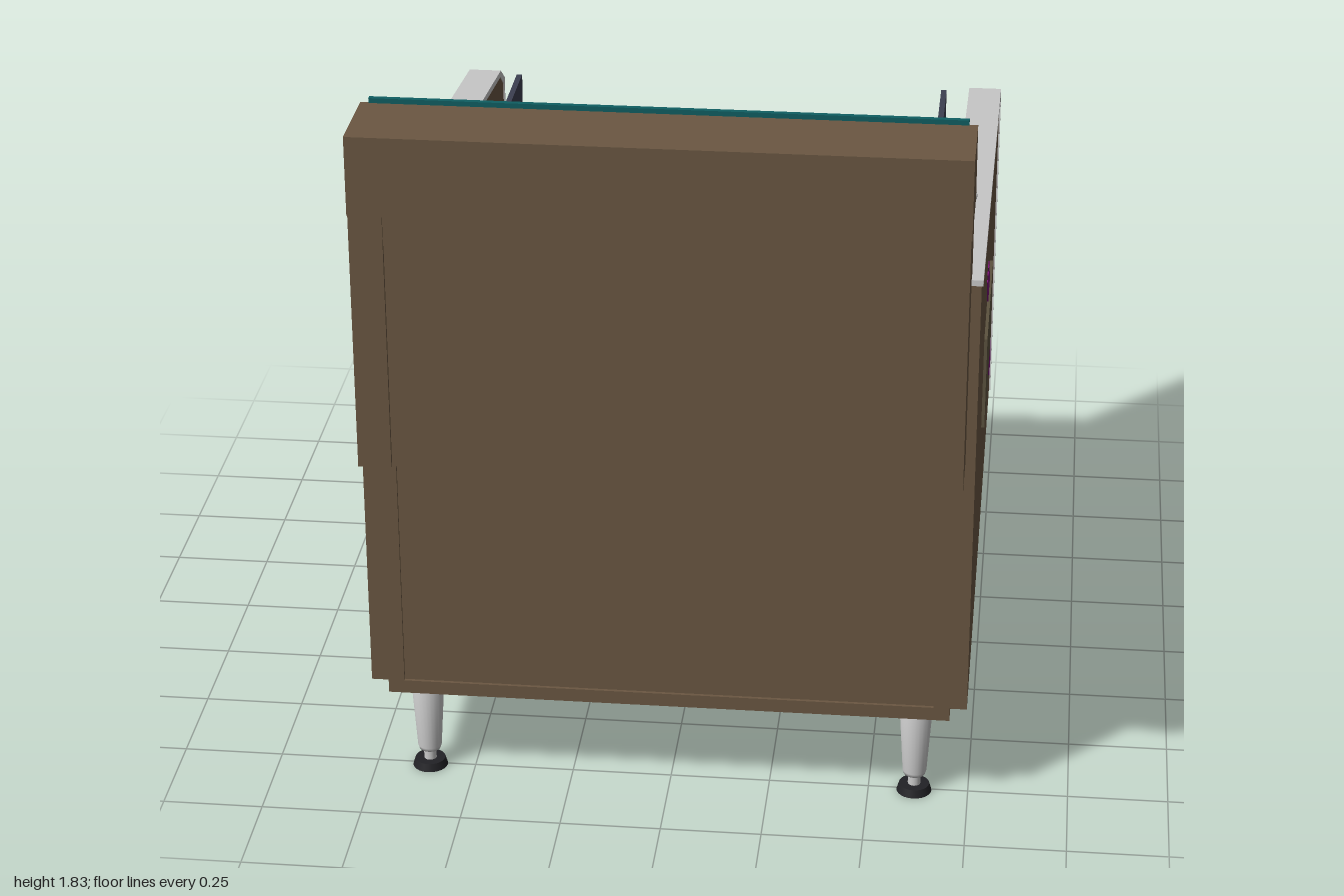
import * as THREE from 'three';
import { RoundedBoxGeometry } from 'three/addons/geometries/RoundedBoxGeometry.js';

const mat = (color, side = THREE.FrontSide) => new THREE.MeshStandardMaterial({ color, side });
const BROWN = mat(0x6b5742), GREY = mat(0xcccccc), NAVY = mat(0x3c3f50), TEAL = mat(0x0f5f62);
const BLACK = mat(0x222226), OLIVE = mat(0x5c533f), GOLD = mat(0xa08a50);
const PURPLE = mat(0x800f7c, THREE.DoubleSide);

export function createModel() {
  const root = new THREE.Group();

  const add = (name, geo, material, parent = root) => {
    const m = new THREE.Mesh(geo, material);
    m.name = name;
    parent.add(m);
    return m;
  };
  // Box given by its limits on each axis
  const box = (name, material, x0, x1, y0, y1, z0, z1, parent = root) => {
    const m = add(name, new THREE.BoxGeometry(x1 - x0, y1 - y0, z1 - z0), material, parent);
    m.position.set((x0 + x1) / 2, (y0 + y1) / 2, (z0 + z1) / 2);
    return m;
  };
  // Side profile of [z, y] points, extruded from x0 to x1
  const slab = (name, material, pts, x0, x1, parent = root) => {
    const shape = new THREE.Shape(pts.map(([z, y]) => new THREE.Vector2(z, y)));
    const geo = new THREE.ExtrudeGeometry(shape, { depth: x1 - x0, bevelEnabled: false });
    geo.rotateY(-Math.PI / 2).translate(x1, 0, 0);
    return add(name, geo, material, parent);
  };

  // Lower cabinet
  box('basePlate', BROWN, -0.70, 0.70, 0.25, 0.285, -0.97, 0.83);
  box('playfield', BROWN, -0.66, 0.66, 0.50, 0.545, -0.95, 0.77);
  box('rearWall', BROWN, -0.66, 0.66, 0.285, 0.98, 0.76, 0.822);
  box('playerWall', BROWN, -0.66, 0.66, 0.285, 0.62, -0.975, -0.915);
  const rim = add('playerRim', new RoundedBoxGeometry(1.32, 0.04, 0.078, 3, 0.015), GREY);
  rim.position.set(0, 0.635, -0.948);
  box('rimStripe', TEAL, -0.53, 0.53, 0.598, 0.612, -0.99, -0.97);

  // Parts mirrored on both sides
  const panel = [[0.83, 0.285], [-0.968, 0.285], [-0.968, 1.182], [-0.91, 1.225], [0.83, 1.43]];
  const trim = [[0.83, 1.43], [0.83, 1.445], [-0.915, 1.242], [-0.985, 1.195], [-0.985, 0.285],
    [-0.968, 0.285], [-0.968, 1.182], [-0.91, 1.225]];
  // Each stripe: top z range, bottom z range
  const stripes = [[0.01, -0.035, -0.80, -0.845], [0.056, 0.032, -0.752, -0.78], [0.10, 0.085, -0.724, -0.74]];
  const latheLeg = new THREE.LatheGeometry(
    [[0, 0.05], [0.027, 0.05], [0.03, 0.06], [0.042, 0.25], [0, 0.25]].map(p => new THREE.Vector2(...p)), 24);

  for (const s of [1, -1]) {
    const lim = (a, b) => (s > 0 ? [a, b] : [-b, -a]);
    const side = new THREE.Group();
    side.name = s > 0 ? 'leftSide' : 'rightSide';
    root.add(side);
    slab('sidePanel', BROWN, panel, ...lim(0.66, 0.742), side);
    slab('sideTrim', GREY, trim, ...lim(0.658, 0.746), side);
    box('edgeStripe', TEAL, ...lim(0.692, 0.714), 0.285, 1.19, -1.0, -0.984, side);
    box('sideScreen', NAVY, ...lim(0.583, 0.598), 0.56, 1.27, -0.82, 0.67, side);
    box('sidePlate', OLIVE, ...lim(0.74, 0.75), 0.737, 0.987, -0.315, 0.18, side);
    for (const [a, b, c, d] of stripes)
      slab('sideStripe', PURPLE, [[a, 1.11], [c, 0.45], [d, 0.45], [b, 1.11]], ...lim(0.741, 0.745), side);

    // Legs with levelling feet
    for (const z of [0.755, -0.89]) {
      const leg = new THREE.Group();
      leg.name = 'leg';
      leg.position.set(s * 0.615, 0, z);
      side.add(leg);
      add('legTaper', latheLeg, GREY, leg);
      add('legNeck', new THREE.CylinderGeometry(0.016, 0.016, 0.05, 16), GREY, leg).position.y = 0.035;
      add('foot', new THREE.CylinderGeometry(0.038, 0.044, 0.02, 24), BLACK, leg).position.y = 0.01;
    }

    // Speaker with concentric rings on the player wall
    const speaker = new THREE.Group();
    speaker.name = 'speaker';
    speaker.position.set(s * 0.43, 0.445, -0.977);
    side.add(speaker);
    const disc = add('speakerDisc', new THREE.CylinderGeometry(0.075, 0.075, 0.008, 32), BLACK, speaker);
    disc.rotation.x = Math.PI / 2;
    [0.077, 0.052, 0.027].forEach((r, i) => {
      const ring = add('speakerRing', new THREE.TorusGeometry(r, 0.004, 6, 32), i ? OLIVE : GOLD, speaker);
      ring.position.z = -0.003;
    });

    // Goal box uprights and dark cheeks
    box('goalUpright', BROWN, ...lim(0.638, 0.718), 0.97, 1.62, 0.775, 1.0, side);
    box('goalCheek', BLACK, ...lim(0.43, 0.648), 0.985, 1.545, 0.767, 0.785, side);
  }

  // Coin panel
  const coin = new THREE.Group();
  coin.name = 'coinPanel';
  root.add(coin);
  box('coinFrame', TEAL, -0.17, 0.17, 0.31, 0.56, -0.985, -0.97, coin);
  box('coinFace', NAVY, -0.157, 0.157, 0.323, 0.547, -0.988, -0.97, coin);
  box('coinSlotPlate', GREY, 0.065, 0.11, 0.42, 0.51, -0.993, -0.98, coin);
  box('coinSlot', BLACK, 0.083, 0.092, 0.45, 0.495, -0.996, -0.98, coin);
  box('coinReturn', GREY, -0.10, -0.06, 0.355, 0.395, -0.993, -0.98, coin);
  box('coinReturnFlap', BLACK, -0.09, -0.07, 0.365, 0.385, -0.996, -0.98, coin);

  // Overhanging goal box
  box('goalShelf', BROWN, -0.64, 0.64, 0.97, 0.99, 0.76, 0.99);
  box('goalBack', BROWN, -0.64, 0.64, 0.975, 1.55, 0.972, 0.99);
  box('goalHeader', BROWN, -0.64, 0.64, 1.545, 1.625, 0.778, 0.995);

  // Sloped head with sign, lip and top stripe
  slab('head', BROWN, [[1, 1.618], [1, 1.815], [0.782, 1.815], [0.745, 1.618]], -0.72, 0.72);
  const sign = add('signPanel', new THREE.BoxGeometry(1.24, 0.145, 0.01), NAVY);
  sign.position.set(0, 1.717, 0.763);
  sign.rotation.x = Math.atan2(0.037, 0.197);
  const lip = add('headLip', new RoundedBoxGeometry(1.445, 0.018, 0.022, 2, 0.007), GREY);
  lip.position.set(0, 1.62, 0.74);
  box('topStripe', TEAL, -0.70, 0.70, 1.805, 1.827, 0.774, 0.787);

  return root;
}
